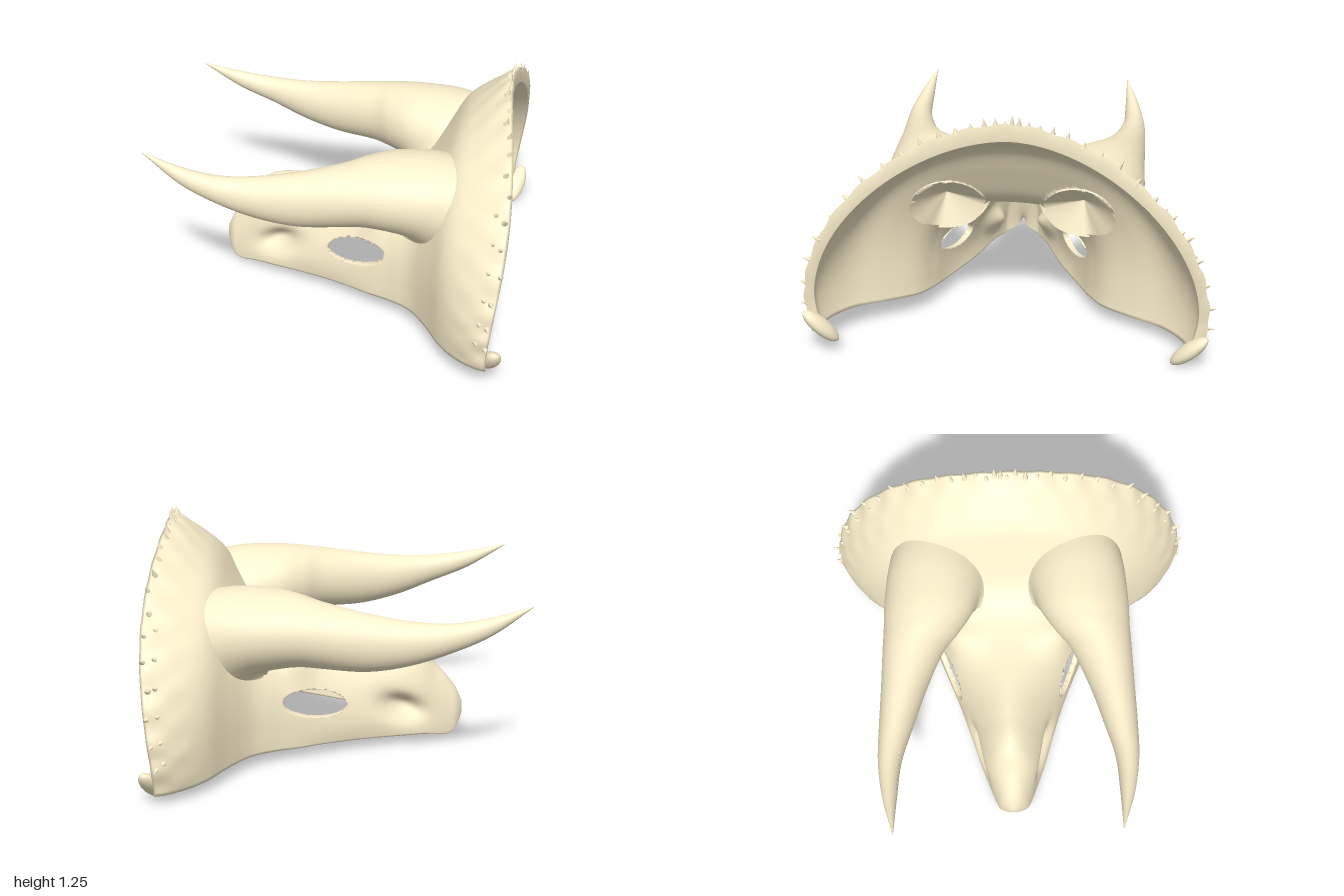
import * as THREE from 'three';

const { lerp, smoothstep } = THREE.MathUtils;
const bone = new THREE.MeshStandardMaterial({ color: 0xfcf0cc, side: THREE.DoubleSide });

// Smooth interpolation of table rows [key, ...values]
function table(rows) {
  const n = rows[0].length - 1;
  const curve = new THREE.CubicInterpolant(rows.map(r => r[0]), rows.flatMap(r => r.slice(1)), n);
  return k => Array.from(curve.evaluate(k));
}

// Arched cross-sections from beak to frill: x, half width, bottom, top, roundness
const section = table([
  [-0.68, 0.02, 0.12, 0.18, 1], [-0.65, 0.07, 0.06, 0.25, 1], [-0.6, 0.1, 0.03, 0.32, 1],
  [-0.53, 0.13, 0.04, 0.4, 1], [-0.46, 0.16, 0.05, 0.5, 1.05], [-0.38, 0.19, 0.055, 0.54, 1.1],
  [-0.25, 0.23, 0.06, 0.55, 1.15], [-0.1, 0.28, 0.065, 0.555, 1.15], [0.08, 0.35, 0.07, 0.57, 1],
  [0.18, 0.39, 0.07, 0.585, 0.84], [0.3, 0.44, 0.075, 0.62, 0.76], [0.42, 0.52, 0.08, 0.7, 0.76],
  [0.52, 0.66, 0.085, 0.86, 0.83], [0.6, 0.8, 0.085, 1.0, 0.93], [0.7, 0.91, 0.08, 1.1, 1.04],
  [0.8, 0.97, 0.075, 1.175, 1.1], [0.85, 0.975, 0.07, 1.2, 1.1]
]);
const FRONT = -0.68, BACK = 0.85;
const BASE = 0.18; // share of the height below the widest line
const power = (v, p) => Math.sign(v) * Math.abs(v) ** p;

// Point on the skull surface, t = 0..1 from the left lower edge over the top
function skullPoint(x, t, inner) {
  const [w, lo, hi, p] = section(x);
  const y0 = lerp(lo, hi, BASE), h = hi - y0;
  const start = -Math.asin((BASE / (1 - BASE)) ** (1 / p));
  const a = lerp(start, Math.PI - start, t);
  const solid = 1 - smoothstep(x, -0.66, -0.5);
  const rim = smoothstep(x, 0.55, BACK);
  const dw = inner ? Math.max(Math.min(0.028 + 0.02 * rim, w * 0.5), w * 0.95 * solid) : 0;
  const dh = inner ? Math.max(Math.min(0.028 + 0.055 * rim, h * 0.5), h * 0.95 * solid) : 0;
  // raised brow in front of each horn
  const brow = 1 + 0.1 * Math.exp(-(((x - 0.19) / 0.09) ** 2) - ((Math.abs(t - 0.5) - 0.19) / 0.08) ** 2);
  const y = y0 + (h - dh) * power(Math.sin(a), p) * brow;
  const nostril = Math.exp(-(((x + 0.36) / 0.11) ** 2) - ((y - 0.21 - 0.3 * (x + 0.36)) / 0.065) ** 2);
  // the rim sweeps back on both shoulders of the frill
  const sweep = 0.06 * rim * Math.sin(2 * Math.PI * t) ** 2;
  return new THREE.Vector3(x + sweep, y, (w - dw) * power(Math.cos(a), p) * brow * (1 - 0.42 * nostril));
}

// x at which the outer skull surface reaches a given height and side offset, behind the brow
const BROW = 0.34;
function skullX(y, z) {
  let a = BROW, b = BACK;
  for (let i = 0; i < 24; i++) {
    const m = (a + b) / 2, [w, lo, hi, p] = section(m), y0 = lerp(lo, hi, BASE);
    const d = Math.abs(z / w) ** (2 / p) + Math.abs((y - y0) / (hi - y0)) ** (2 / p);
    if (d < 1) b = m; else a = m;
  }
  return b;
}

const socket = { y: 0.62, z: 0.33, ry: 0.155, rz: 0.18 };

// If a point lies in an opening, return a function that moves points to its edge
function opening(v) {
  const c = Math.cos(0.22), s = Math.sin(0.22);
  const eye = q => {
    const dx = q.x - 0.1, dy = q.y - 0.298;
    return [(dx * c + dy * s) / 0.165, (dy * c - dx * s) / 0.068];
  };
  const horn = q => [(Math.abs(q.z) - socket.z) / socket.rz, (q.y - socket.y) / socket.ry];
  if (Math.hypot(...eye(v)) < 1) return q => {
    const [a, b] = eye(q), l = Math.hypot(a, b) || 1, u = a / l * 0.165, k = b / l * 0.068;
    q.x = 0.1 + u * c - k * s;
    q.y = 0.298 + u * s + k * c;
  };
  if (v.x > BROW && Math.hypot(...horn(v)) < 1) return (q, depth) => {
    const [a, b] = horn(q), l = Math.hypot(a, b) || 1;
    q.z = Math.sign(q.z) * (socket.z + a / l * socket.rz);
    q.y = socket.y + b / l * socket.ry;
    q.x = skullX(q.y, q.z) + depth;
  };
  return null;
}

function meshFrom(points, index, name) {
  const g = new THREE.BufferGeometry().setFromPoints(points);
  g.setIndex(index);
  g.computeVertexNormals();
  const m = new THREE.Mesh(g, bone);
  m.name = name;
  return m;
}

// Double-walled skull and frill with eye openings and horn sockets
function skullShell() {
  const R = 130, N = 150, points = [], index = [], cut = [];
  for (let i = 0; i <= R; i++) for (let j = 0; j <= N; j++) {
    const x = lerp(FRONT, BACK, i / R);
    const out = skullPoint(x, j / N, false), inn = skullPoint(x, j / N, true);
    const snap = opening(out);
    if (snap) { snap(out, 0); snap(inn, 0.04); }
    cut.push(!!snap);
    // slight ripples on the frill
    const f = smoothstep(x, 0.6, 0.84), wave = 1 + 0.006 * f * Math.sin(j * 0.8) * Math.sin(x * 25);
    out.y *= wave;
    out.z *= wave;
    points.push(out, inn);
  }
  const id = (i, j) => i * (N + 1) + j;
  const corners = (i, j) => [id(i, j), id(i + 1, j), id(i + 1, j + 1), id(i, j + 1)];
  const kept = (i, j) => i >= 0 && j >= 0 && i < R && j < N && !corners(i, j).every(k => cut[k]);
  const quad = (a, b, c, d) => index.push(a, b, c, a, c, d);
  for (let i = 0; i < R; i++) for (let j = 0; j < N; j++) {
    if (!kept(i, j)) continue;
    const [a, b, c, d] = corners(i, j).map(k => 2 * k);
    quad(a, b, c, d);
    quad(d + 1, c + 1, b + 1, a + 1);
    // edge walls wherever the neighbouring cell is missing
    [[a, b, i, j - 1], [b, c, i + 1, j], [c, d, i, j + 1], [d, a, i - 1, j]].forEach(([p, q, m, n]) => {
      if (!kept(m, n)) quad(q, p, p + 1, q + 1);
    });
  }
  return meshFrom(points, index, 'skullAndFrill');
}

// Loft closed rings, ring(u, angle) -> Vector3
function loft(ring, rows, cols, name) {
  const points = [], index = [];
  for (let i = 0; i <= rows; i++) for (let j = 0; j < cols; j++) points.push(ring(i / rows, j / cols * Math.PI * 2));
  for (let i = 0; i < rows; i++) for (let j = 0; j < cols; j++) {
    const k = (j + 1) % cols, a = i * cols, b = a + cols;
    index.push(a + j, b + k, b + j, a + j, a + k, b + k);
  }
  return meshFrom(points, index, name);
}

// Horn rings: step, x, y, z, radius y, radius z, blend onto the skull surface
const hornRing = table([
  [0, -0.95, 0.895, 0.565, 0.003, 0.003, 0], [1, -0.75, 0.803, 0.595, 0.045, 0.037, 0],
  [2, -0.55, 0.746, 0.605, 0.075, 0.06, 0], [3, -0.35, 0.711, 0.58, 0.113, 0.088, 0],
  [4, -0.15, 0.704, 0.545, 0.146, 0.117, 0], [5, 0.06, 0.723, 0.495, 0.165, 0.16, 0],
  [6, 0.17, 0.732, 0.45, 0.178, 0.2, 0], [7, 0.26, 0.73, 0.415, 0.197, 0.235, 0.1],
  [8, 0.3, 0.713, 0.39, 0.217, 0.25, 0.55], [9, 0.32, 0.68, 0.37, 0.234, 0.256, 1]
]);

function horn(side) {
  const g = new THREE.Group();
  g.name = side > 0 ? 'leftHorn' : 'rightHorn';
  g.add(loft((u, a) => {
    const [x, y, z, ry, rz, k] = hornRing(u * 9);
    const py = y + ry * Math.sin(a), pz = z + rz * Math.cos(a);
    return new THREE.Vector3(lerp(x, skullX(py, pz) + 0.012, k), py, pz * side);
  }, 54, 40, 'hornSheath'));
  // rounded hollow seen from behind the frill
  g.add(loft((u, a) => {
    const r = Math.cos(u * Math.PI / 2), s = socket;
    const y = s.y + s.ry * Math.sin(a), z = s.z + s.rz * Math.cos(a);
    return new THREE.Vector3(lerp(0.33, skullX(y, z) + 0.04, r), lerp(s.y + 0.02, y, r), lerp(s.z + 0.02, z, r) * side);
  }, 14, 40, 'hornSocket'));
  return g;
}

// Small bony points around the frill, denser and larger at the top
function frillPoints() {
  const g = new THREE.Group();
  g.name = 'frillPoints';
  const up = new THREE.Vector3(0, 1, 0);
  const add = (x, t, r, l) => {
    const p = skullPoint(x, t, false);
    const dir = new THREE.Vector3(0.15, p.y - 0.3, p.z * 0.85).normalize();
    const cone = new THREE.Mesh(new THREE.ConeGeometry(r, l, 7), bone);
    cone.position.copy(p).addScaledVector(dir, l * 0.25);
    cone.quaternion.setFromUnitVectors(up, dir);
    cone.name = 'frillPoint';
    g.add(cone);
  };
  for (let i = -16; i <= 16; i++) {
    const u = i / 16, t = 0.5 + 0.45 * u * (0.4 + 0.6 * Math.abs(u));
    add(0.83 + 0.01 * Math.sin(i * 2.3), t, 0.017, (i ? 0.045 : 0.065) + 0.014 * Math.sin(i * 1.7));
  }
  for (const s of [-1, 1]) for (let i = 0; i < 6; i++) add(0.79, 0.5 + s * (0.24 + i * 0.04), 0.015, 0.025);
  return g;
}

export function createModel() {
  const model = new THREE.Group();
  model.name = 'hornedSkull';
  // the skull is turned and rolled slightly
  const skull = new THREE.Group();
  skull.name = 'skull';
  skull.rotation.set(-0.035, -0.085, 0);
  skull.position.z = -0.07;
  skull.add(skullShell(), frillPoints());
  for (const side of [-1, 1]) {
    skull.add(horn(side));
    // flat hooked lower corner of the frill
    const lobe = new THREE.Mesh(new THREE.SphereGeometry(1, 24, 16), bone);
    lobe.scale.set(0.05, 0.12, 0.038);
    lobe.position.set(0.865, 0.11, side * 0.895);
    lobe.rotation.set(side * 0.75, 0, -0.25);
    lobe.name = side > 0 ? 'leftFrillCorner' : 'rightFrillCorner';
    skull.add(lobe);
  }
  model.add(skull);
  return model;
}
